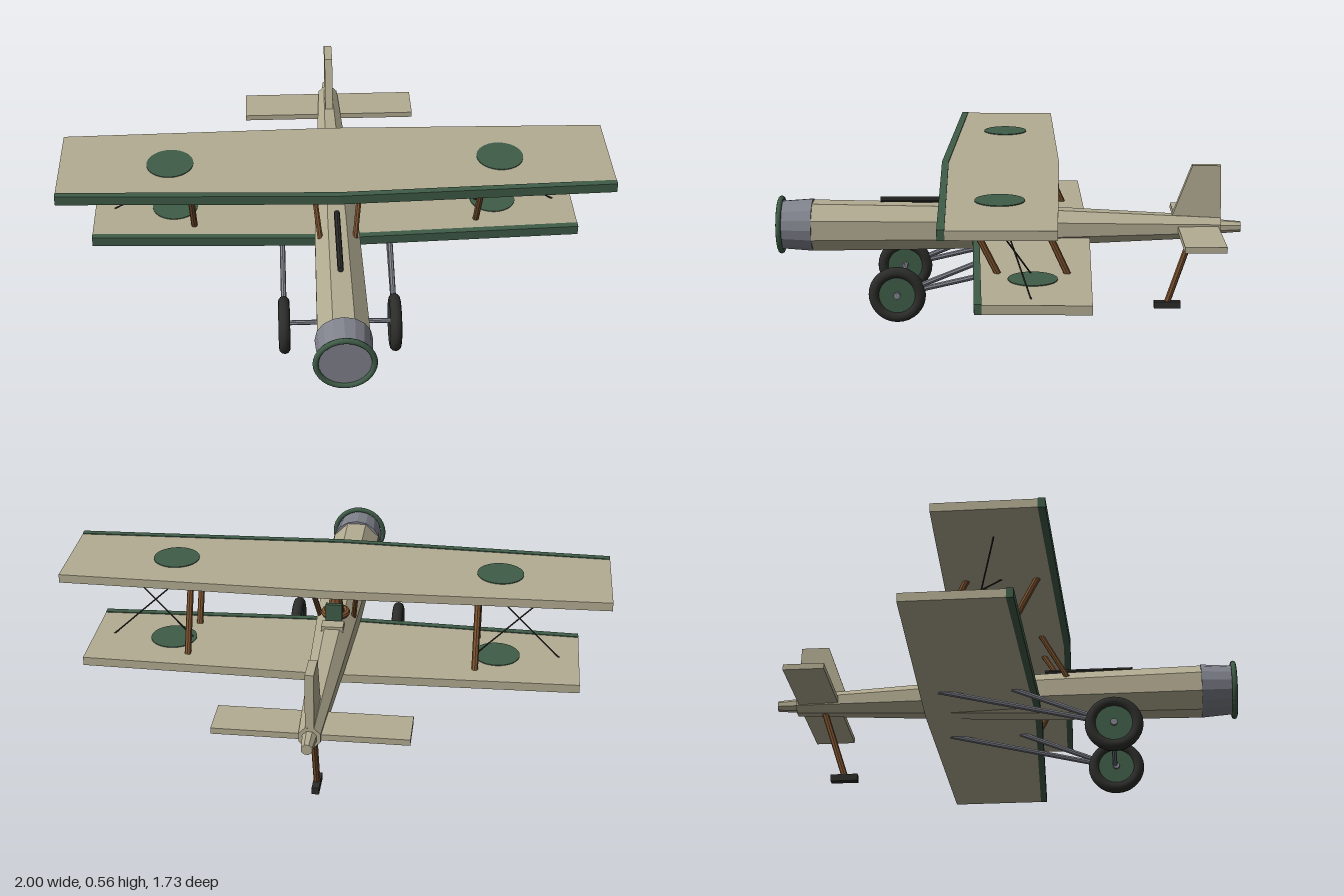
import * as THREE from 'three';

const V = (x, y, z) => new THREE.Vector3(x, y, z);
const paint = (color, flat = true) =>
  new THREE.MeshStandardMaterial({ color, flatShading: flat });
const canvas = paint(0xb3ac92), green = paint(0x3f5c48), wood = paint(0x7d5330),
  metal = paint(0x80828c), black = paint(0x2c2c2a), rubber = paint(0x2c2c2a, false),
  trim = paint(0x3f5c48, false);

export function createModel() {
  const model = new THREE.Group();

  const add = (name, geometry, material, x = 0, y = 0, z = 0) => {
    const mesh = new THREE.Mesh(geometry, material);
    mesh.name = name;
    mesh.position.set(x, y, z);
    model.add(mesh);
    return mesh;
  };
  const box = (name, mat, w, h, d, x, y, z) =>
    add(name, new THREE.BoxGeometry(w, h, d), mat, x, y, z);
  // Round bar between two points
  const rod = (name, mat, a, b, r, sides = 8) => {
    const mesh = add(name, new THREE.CylinderGeometry(r, r, a.distanceTo(b), sides), mat);
    mesh.position.copy(a).lerp(b, 0.5);
    mesh.quaternion.setFromUnitVectors(V(0, 1, 0), b.clone().sub(a).normalize());
    return mesh;
  };
  // Flat slab from an outline of [x, z] points
  const slab = (name, mat, outline, y, thickness) => {
    const shape = new THREE.Shape(outline.map(([x, z]) => new THREE.Vector2(x, -z)));
    const geo = new THREE.ExtrudeGeometry(shape, { depth: thickness, bevelEnabled: false });
    return add(name, geo.rotateX(-Math.PI / 2), mat, 0, y, 0);
  };

  // Eight-sided fuselage, tapering to the tail stub
  const profile = [[0, -0.865], [0.02, -0.865], [0.026, -0.79], [0.04, -0.79], [0.05, -0.6],
    [0.068, -0.25], [0.087, 0.15], [0.097, 0.73], [0, 0.73]].map(p => new THREE.Vector2(...p));
  add('fuselage', new THREE.LatheGeometry(profile, 8, Math.PI / 8).rotateX(Math.PI / 2),
    canvas, 0, 0.32, 0);

  // Cowling with its front ring
  add('cowling', new THREE.CylinderGeometry(0.09, 0.099, 0.12, 16).rotateX(Math.PI / 2),
    metal, 0, 0.322, 0.79);
  add('cowlingRing', new THREE.TorusGeometry(0.099, 0.01, 8, 32), trim, 0, 0.322, 0.85);

  // Wings: slightly swept edges, green leading strip, round markings
  const wing = (name, span, y, lead, trail) => {
    const tipLead = lead - 0.035, tipTrail = trail + 0.02, strip = 0.025;
    slab(name, canvas, [[-span, tipLead - strip], [0, lead - strip], [span, tipLead - strip],
      [span, tipTrail], [0, trail], [-span, tipTrail]], y, 0.032);
    slab(name + 'LeadingEdge', green, [[-span, tipLead], [0, lead], [span, tipLead],
      [span, tipLead - strip], [0, lead - strip], [-span, tipLead - strip]], y - 0.001, 0.036);
    for (const s of [-1, 1])
      add(name + 'Marking', new THREE.CylinderGeometry(0.085, 0.085, 0.004, 32), green,
        s * 0.6, y + 0.033, lead - 0.225);
  };
  wing('upperWing', 1, 0.53, 0.247, -0.187);
  wing('lowerWing', 0.9, 0.256, 0.135, -0.303);

  for (const s of [-1, 1]) {
    // Struts between the wings and above the fuselage
    rod('frontWingStrut', wood, V(s * 0.525, 0.535, 0.155), V(s * 0.525, 0.285, 0.03), 0.012);
    rod('rearWingStrut', wood, V(s * 0.525, 0.535, -0.095), V(s * 0.525, 0.285, -0.21), 0.012);
    rod('frontCentreStrut', wood, V(s * 0.085, 0.535, 0.14), V(s * 0.063, 0.37, 0.235), 0.01);
    rod('rearCentreStrut', wood, V(s * 0.085, 0.535, -0.09), V(s * 0.063, 0.36, 0.015), 0.01);
    // Crossed bracing wires
    rod('bracingWire', black, V(s * 0.525, 0.535, 0.03), V(s * 0.83, 0.285, -0.085), 0.003, 5);
    rod('bracingWire', black, V(s * 0.83, 0.535, 0.03), V(s * 0.525, 0.285, -0.085), 0.003, 5);

    // Wheels and their legs
    const hub = V(s * 0.2, 0.11, 0.405);
    add('tyre', new THREE.TorusGeometry(0.084, 0.021, 12, 32).rotateY(Math.PI / 2),
      rubber, ...hub);
    add('wheelDisc', new THREE.CylinderGeometry(0.068, 0.068, 0.022, 24).rotateZ(Math.PI / 2),
      green, ...hub);
    add('wheelHub', new THREE.CylinderGeometry(0.013, 0.013, 0.04, 10).rotateZ(Math.PI / 2),
      metal, ...hub);
    rod('frontLeg', metal, hub, V(s * 0.2, 0.262, 0.04), 0.01);
    rod('rearLeg', metal, hub, V(s * 0.2, 0.262, -0.23), 0.01);
  }
  rod('axle', metal, V(-0.2, 0.115, 0.4), V(0.2, 0.115, 0.4), 0.009);

  // Cockpit with rim, pilot, seat back and fairing
  add('cockpitRim', new THREE.TorusGeometry(0.042, 0.012, 8, 20).rotateX(Math.PI / 2),
    wood, 0, 0.398, -0.03);
  add('pilotBody', new THREE.CylinderGeometry(0.022, 0.035, 0.09, 10), wood, 0, 0.42, -0.025);
  box('pilotHead', wood, 0.06, 0.035, 0.07, 0, 0.482, -0.025);
  box('seatBack', green, 0.06, 0.09, 0.016, 0, 0.412, -0.083);
  box('cockpitFairing', canvas, 0.08, 0.06, 0.05, 0, 0.367, -0.125);
  rod('gunBarrel', black, V(0, 0.42, 0.15), V(0, 0.42, 0.478), 0.011);

  // Tailplane and fin
  box('tailplane', canvas, 0.67, 0.022, 0.15, 0, 0.318, -0.705);
  const finShape = new THREE.Shape([[0.6, 0.34], [0.68, 0.555], [0.785, 0.555], [0.79, 0.34]]
    .map(p => new THREE.Vector2(...p)));
  const finGeo = new THREE.ExtrudeGeometry(finShape, { depth: 0.03, bevelEnabled: false });
  add('fin', finGeo.translate(0, 0, -0.015).rotateY(Math.PI / 2), canvas);

  // Tail skid
  rod('skidPost', wood, V(0, 0.3, -0.69), V(0, 0.025, -0.6), 0.012);
  box('skidShoe', black, 0.026, 0.026, 0.1, 0, 0.015, -0.6);

  return model;
}
